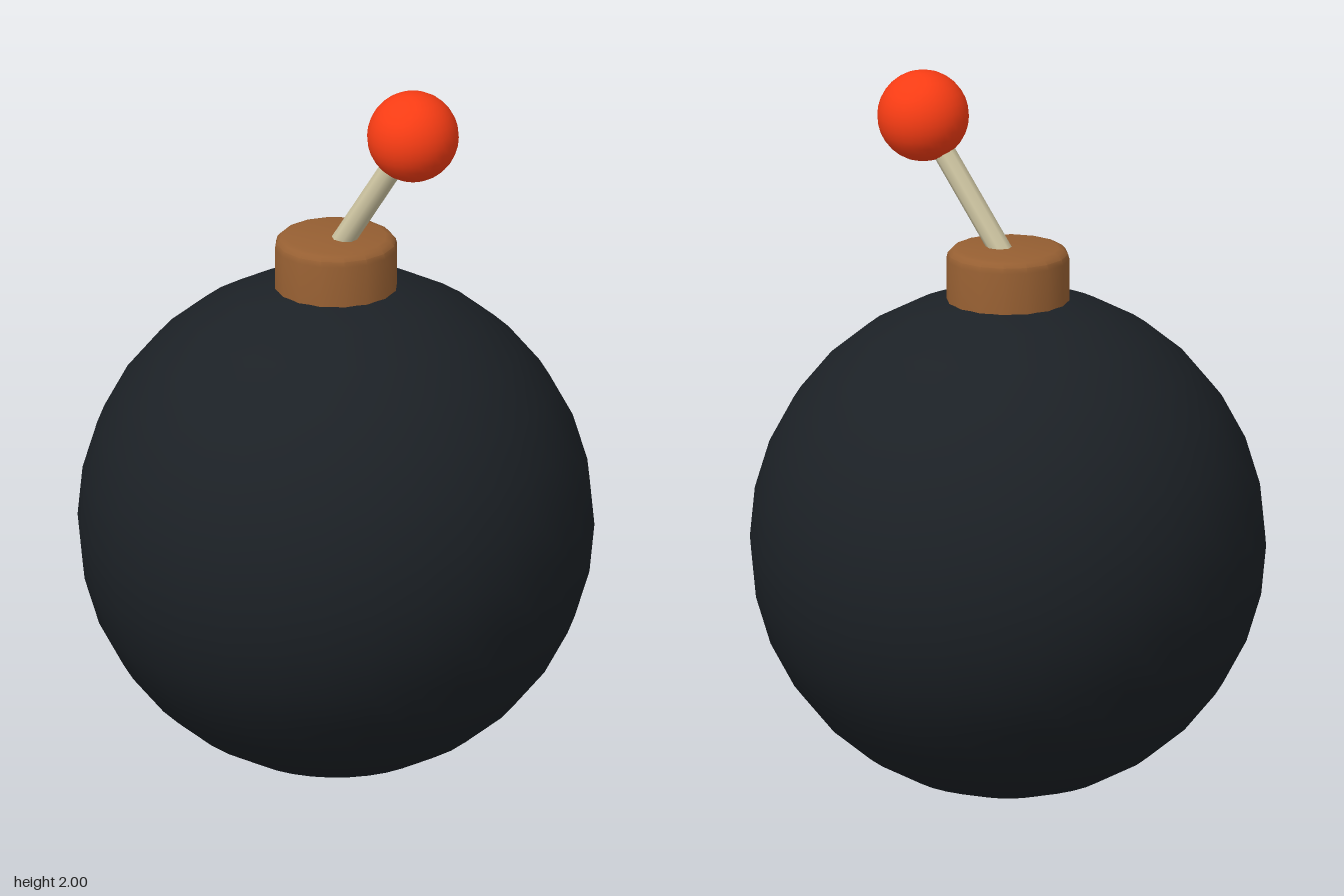
import * as THREE from 'three';
import { toCreasedNormals } from 'three/addons/utils/BufferGeometryUtils.js';

export function createModel() {
  const group = new THREE.Group();
  group.name = 'bomb';

  const add = (name, geometry, color) => {
    const mesh = new THREE.Mesh(geometry, new THREE.MeshStandardMaterial({ color }));
    mesh.name = name;
    group.add(mesh);
    return mesh;
  };

  // Round shell resting on the ground
  const bodyRadius = 0.704;
  add('body', new THREE.SphereGeometry(bodyRadius, 32, 16), 0x1c2126).position.y = bodyRadius;

  // Collar: a short plug with a rounded top rim
  const collarRadius = 0.168, collarTop = 1.53, bevel = 0.03;
  const profile = [new THREE.Vector2(0, 1.3), new THREE.Vector2(collarRadius, 1.3)];
  for (let i = 0; i <= 3; i++) {
    const a = (i / 3) * Math.PI / 2;
    profile.push(new THREE.Vector2(
      collarRadius - bevel + bevel * Math.cos(a),
      collarTop - bevel + bevel * Math.sin(a)));
  }
  profile.push(new THREE.Vector2(0, collarTop));
  add('collar', toCreasedNormals(new THREE.LatheGeometry(profile, 16), 0.6), 0x965f32);

  // Fuse: a thin rod leaning from the collar to the spark
  const base = new THREE.Vector3(0, 1.487, 0);
  const tip = new THREE.Vector3(0.238, 1.875, 0.085);
  const direction = tip.clone().sub(base);
  const fuse = add('fuse', new THREE.CylinderGeometry(0.031, 0.031, direction.length(), 8), 0xd2c9a5);
  fuse.position.copy(base).lerp(tip, 0.5);
  fuse.quaternion.setFromUnitVectors(new THREE.Vector3(0, 1, 0), direction.normalize());

  // Ball at the end of the fuse
  add('spark', new THREE.SphereGeometry(0.125, 32, 16), 0xf83c14).position.copy(tip);

  return group;
}
